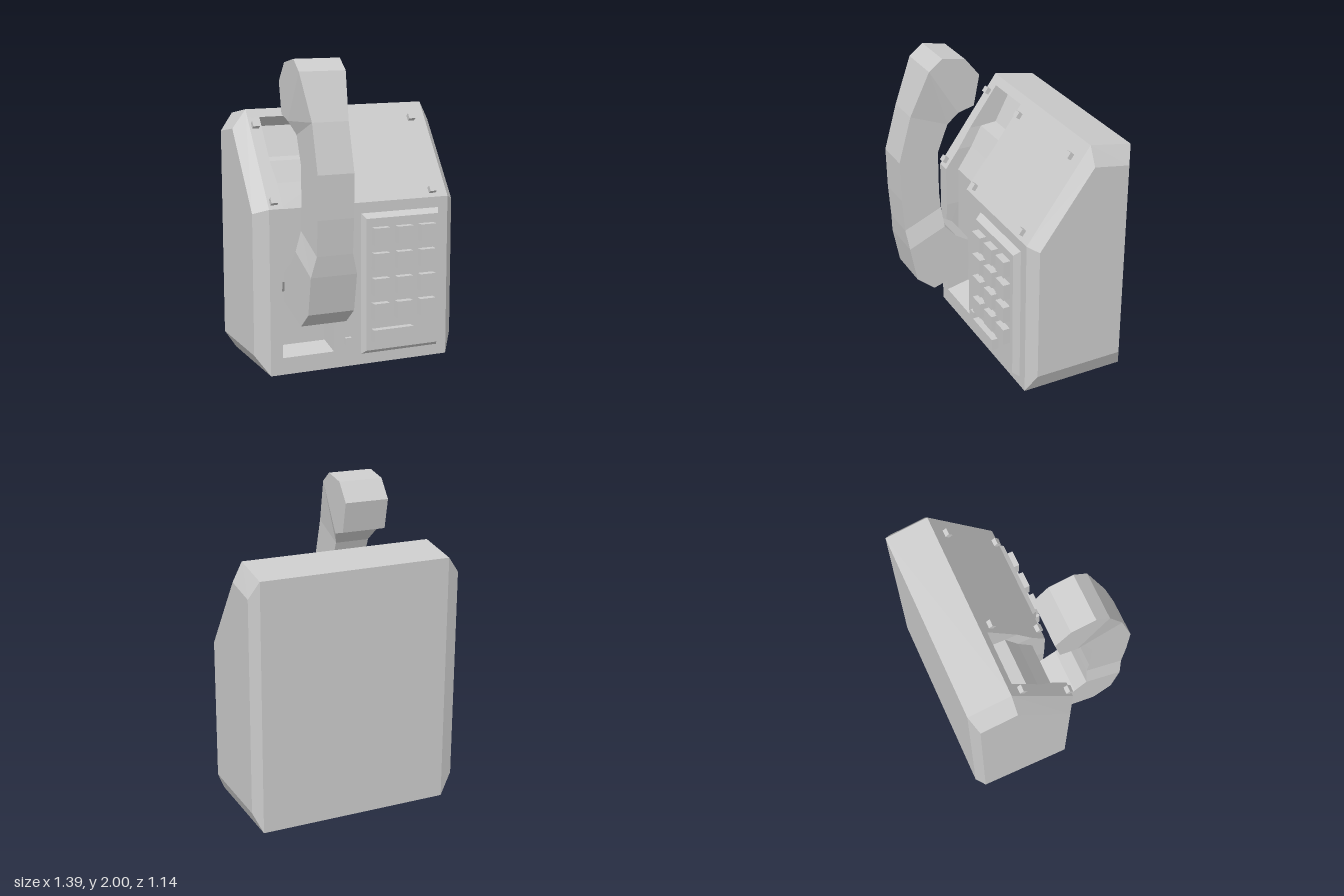
import * as THREE from 'three';

const material = new THREE.MeshStandardMaterial({ color: 0xcccccc, flatShading: true, side: THREE.DoubleSide });

// Flat-shaded mesh from a list of quads or triangles (corners counter-clockwise)
function facesMesh(name, faces) {
  const pos = [];
  for (const f of faces) {
    for (let i = 1; i < f.length - 1; i++) pos.push(...f[0], ...f[i], ...f[i + 1]);
  }
  const geo = new THREE.BufferGeometry();
  geo.setAttribute('position', new THREE.Float32BufferAttribute(pos, 3));
  geo.computeVertexNormals();
  const mesh = new THREE.Mesh(geo, material);
  mesh.name = name;
  return mesh;
}

// Faces joining successive loops, with both ends capped; skip(row, side) leaves openings
function loft(loops, skip = () => false) {
  const faces = [];
  for (let i = 0; i < loops.length - 1; i++) {
    const a = loops[i], b = loops[i + 1];
    a.forEach((p, j) => {
      const k = (j + 1) % a.length;
      if (!skip(i, j)) faces.push([p, b[j], b[k], a[k]]);
    });
  }
  faces.push(loops[0], [...loops[loops.length - 1]].reverse());
  return faces;
}

function box(name, w, h, d, x, y, z) {
  const mesh = new THREE.Mesh(new THREE.BoxGeometry(w, h, d), material);
  mesh.name = name;
  mesh.position.set(x, y, z);
  return mesh;
}

const LEFT = -0.61, RIGHT = 0.63, FRONT = 0.13, CREASE = 1.07, TOP = 1.65;
const SLOPE = 0.42 / 0.58;
const frontZ = (y) => (y < CREASE ? FRONT : FRONT - (y - CREASE) * SLOPE);

// Housing: side profile with chamfered flanks, front left open for the cradle
function makeHousing() {
  const inner = [[FRONT, 0], [FRONT, CREASE], [-0.29, TOP], [-0.57, 1.6], [-0.57, 0]];
  const outer = [[0.07, 0.13], [0.07, 1.04], [-0.29, 1.53], [-0.53, 1.49], [-0.53, 0.13]];
  const at = (profile, x) => profile.map(([z, y]) => [x, y, z]);
  const faces = loft(
    [at(outer, -0.7), at(inner, LEFT), at(inner, RIGHT), at(outer, 0.69)],
    (i, j) => i === 1 && j < 2
  );

  // Cradle rows: lip height, floor z, floor y, half width
  const rows = [
    [0.11, -0.03, 0.145, 0.175], [0.5, -0.03, 0.5, 0.175], [0.55, 0.04, 0.58, 0.175],
    [0.8, 0.04, 0.8, 0.16], [CREASE, 0.04, 1.05, 0.16], [1.2, -0.06, 1.2, 0.16],
    [1.33, -0.14, 1.33, 0.175], [1.34, -0.25, 1.34, 0.175], [1.6, -0.35, 1.53, 0.175],
  ].map(([y, fz, fy, w]) => {
    const l = -0.355 - w, r = -0.355 + w, z = frontZ(y);
    return [[LEFT, y, z], [l, y, z], [l, fy, fz], [r, fy, fz], [r, y, z], [RIGHT, y, z]];
  });
  for (let i = 0; i < rows.length - 1; i++) {
    const a = rows[i], b = rows[i + 1];
    for (let j = 0; j < 5; j++) faces.push([a[j], a[j + 1], b[j + 1], b[j]]);
  }
  // Cradle sill and ceiling, and the front skin below and above
  const lo = rows[0], hi = rows[rows.length - 1];
  faces.push([lo[1], lo[4], lo[3], lo[2]], [hi[2], hi[3], hi[4], hi[1]]);
  faces.push([[LEFT, 0, FRONT], [RIGHT, 0, FRONT], lo[5], lo[0]]);
  faces.push([hi[0], hi[5], [RIGHT, TOP, -0.29], [LEFT, TOP, -0.29]]);
  return facesMesh('housing', faces);
}

// Handset: rows from earpiece to mouthpiece (front z, y, back z, y, half width)
function makeHandset() {
  const rows = [
    [0.28, 2.0, 0.125, 1.97, 0.15], [0.37, 1.93, 0.03, 1.85, 0.15],
    [0.37, 1.93, 0.07, 1.65, 0.15], [0.37, 1.93, 0.18, 1.62, 0.15],
    [0.49, 1.64, 0.24, 1.54, 0.117], [0.575, 1.34, 0.31, 1.36, 0.117],
    [0.57, 1.07, 0.31, 1.07, 0.117], [0.555, 0.85, 0.3, 0.96, 0.117],
    [0.54, 0.72, 0.29, 0.83, 0.15], [0.54, 0.72, 0.21, 0.74, 0.15],
    [0.495, 0.48, 0.1, 0.67, 0.15], [0.375, 0.38, 0.08, 0.47, 0.15],
  ];
  const loops = rows.map(([fz, fy, bz, by, w]) => {
    const l = -0.35 - w, r = -0.35 + w;
    return [[l, fy, fz], [r, fy, fz], [r, by, bz], [l, by, bz]];
  });
  return facesMesh('handset', loft(loops));
}

// Keypad: bevelled plate, twelve keys and one wide key
function makeKeypad() {
  const group = new THREE.Group();
  group.name = 'keypad';
  const ring = (l, r, b, t, z) => [[l, b, z], [r, b, z], [r, t, z], [l, t, z]];
  group.add(facesMesh('keypadPlate', loft([
    ring(0.03, 0.54, 0.1, 0.97, 0.173), ring(0.01, 0.56, 0.07, 1.0, FRONT),
  ])));
  for (const y of [0.858, 0.693, 0.528, 0.363]) {
    for (const x of [0.12, 0.285, 0.45]) group.add(box('key', 0.108, 0.11, 0.06, x, y, 0.19));
  }
  group.add(box('wideKey', 0.28, 0.08, 0.06, 0.205, 0.204, 0.19));
  return group;
}

export function createModel() {
  const model = new THREE.Group();
  model.name = 'telephone';
  model.add(makeHousing(), makeHandset(), makeKeypad());

  // Studs standing square to the sloping panel
  for (const y of [1.11, 1.55]) {
    for (const x of [-0.573, -0.128, 0.525]) {
      const stud = box('panelStud', 0.045, 0.04, 0.06, x, y, frontZ(y));
      stud.rotation.x = -Math.atan(SLOPE);
      model.add(stud);
    }
  }
  model.add(box('smallButton', 0.045, 0.045, 0.04, -0.085, 0.173, 0.135));
  return model;
}
